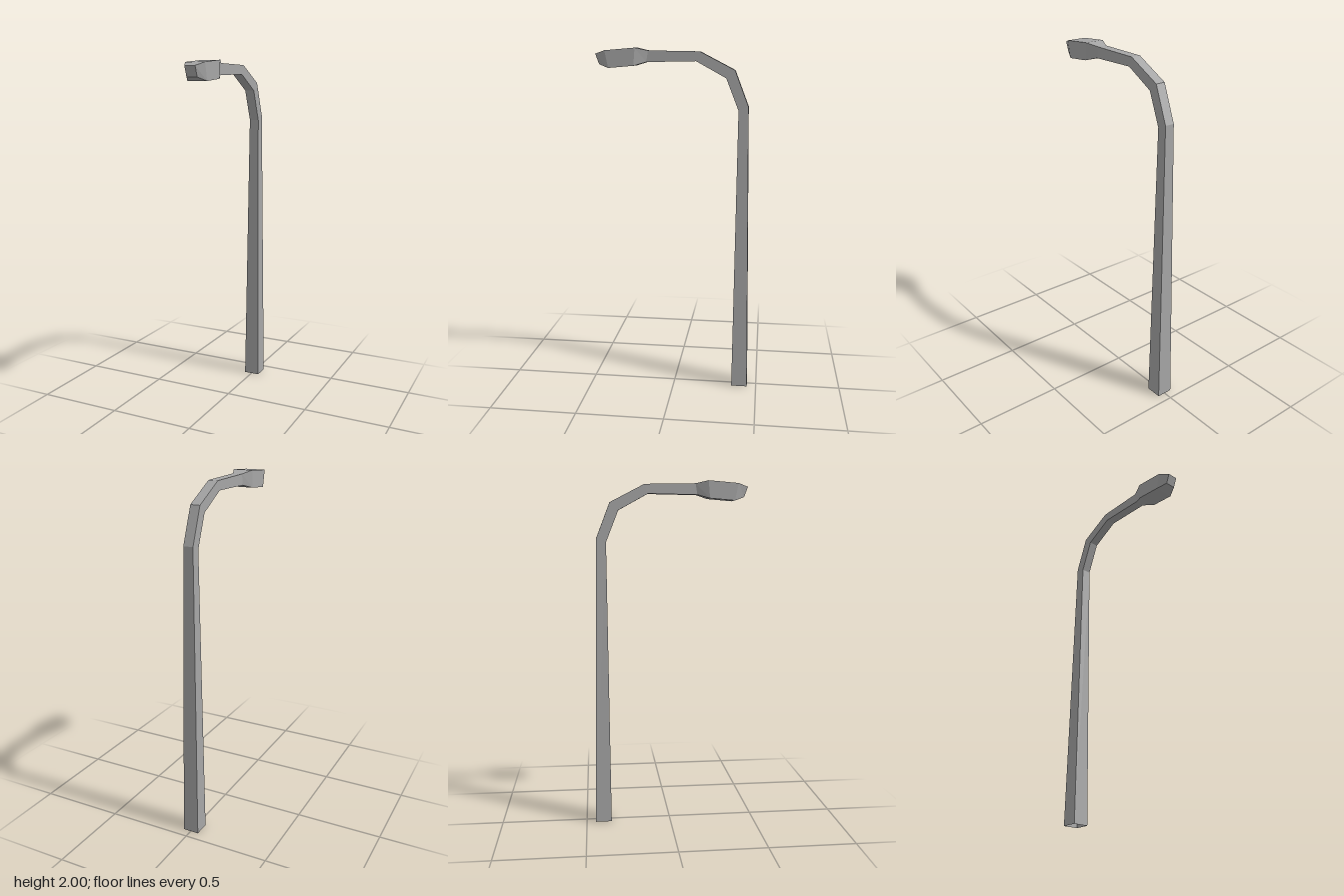
import * as THREE from 'three';

// Sections along the lamp: [inner z, inner y, outer z, outer y, half width]
const NECK = [0.157, 1.922, 0.147, 1.985, 0.028];
const POLE = [
  [-0.352, 0, -0.446, 0, 0.047],
  [-0.361, 1.658, -0.416, 1.68, 0.028],
];
const ARM = [
  POLE[1],
  [-0.29, 1.835, -0.338, 1.879, 0.028],
  [-0.122, 1.927, -0.142, 1.98, 0.028],
  NECK,
];
const HEAD = [
  NECK,
  [0.225, 1.902, 0.217, 2.0, 0.058],
  [0.368, 1.89, 0.388, 1.986, 0.058],
  [0.425, 1.91, 0.446, 1.967, 0.031],
];

// Skin a run of rectangular sections, optionally closing the far end
function loft(sections, capEnd) {
  const rings = sections.map(([zi, yi, zo, yo, w]) => [
    [-w, yi, zi], [w, yi, zi], [w, yo, zo], [-w, yo, zo],
  ]);
  const positions = [];
  const quad = (a, b, c, d) => positions.push(...a, ...b, ...c, ...a, ...c, ...d);
  for (let i = 0; i < rings.length - 1; i++) {
    for (let j = 0; j < 4; j++) {
      const k = (j + 1) % 4;
      quad(rings[i][j], rings[i][k], rings[i + 1][k], rings[i + 1][j]);
    }
  }
  if (capEnd) quad(...rings[rings.length - 1]);
  const geometry = new THREE.BufferGeometry();
  geometry.setAttribute('position', new THREE.Float32BufferAttribute(positions, 3));
  geometry.computeVertexNormals();
  return geometry;
}

export function createModel() {
  const metal = new THREE.MeshStandardMaterial({ color: 0xa6a6a6, flatShading: true, side: THREE.DoubleSide });
  metal.name = 'grey metal';

  const group = new THREE.Group();
  group.name = 'streetLamp';
  const add = (name, sections, capEnd = false) => {
    const mesh = new THREE.Mesh(loft(sections, capEnd), metal);
    mesh.name = name;
    group.add(mesh);
  };

  add('pole', POLE); // tapered and open at the foot
  add('curvedArm', ARM);
  add('lampHead', HEAD, true);
  return group;
}
